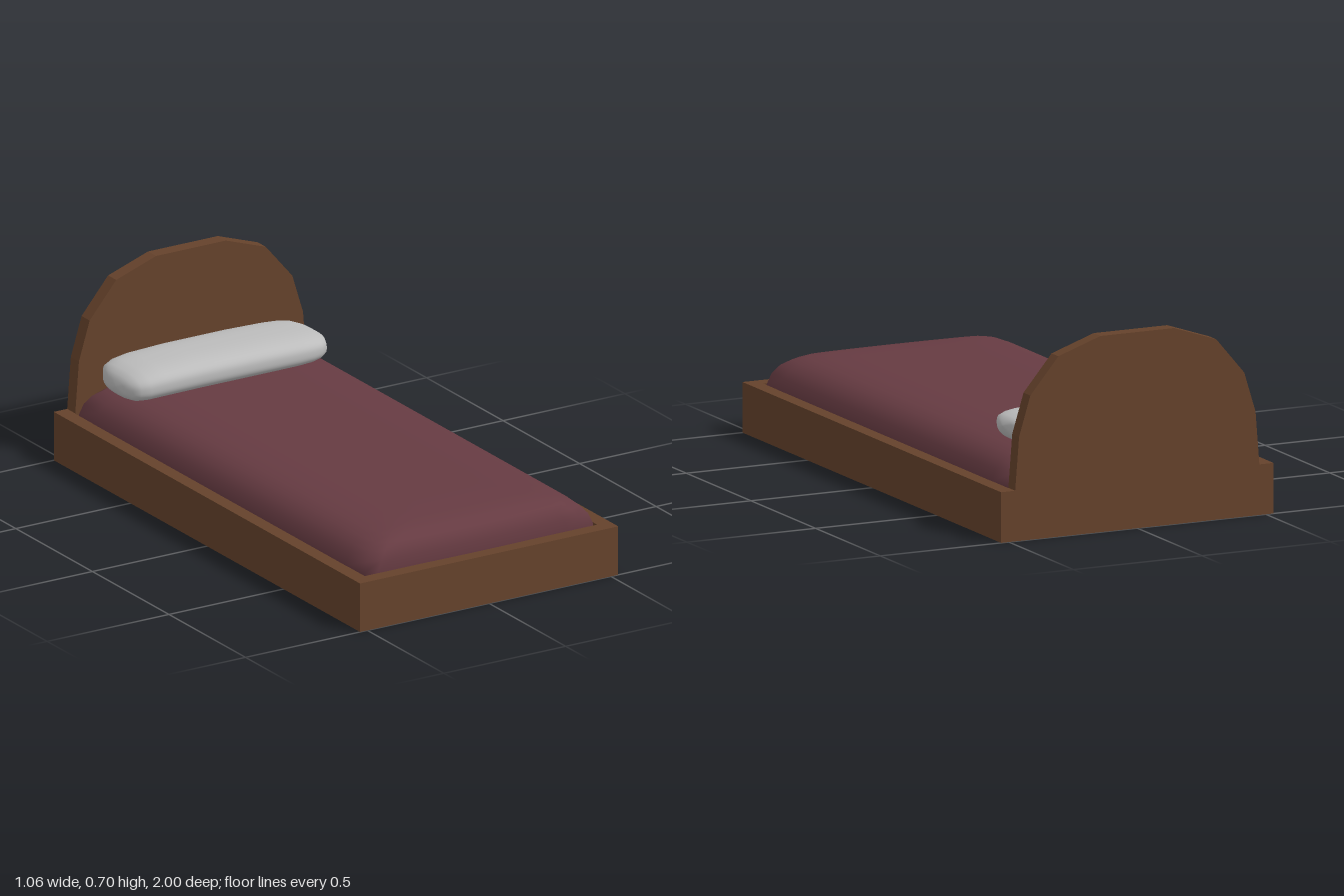
import * as THREE from 'three';

const wood = new THREE.MeshStandardMaterial({ name: 'brown wood', color: 0x65422b });
const blanket = new THREE.MeshStandardMaterial({ name: 'dark red cloth', color: 0x663b42 });
const linen = new THREE.MeshStandardMaterial({ name: 'light grey linen', color: 0xbcbcbc });

function addMesh(group, name, geometry, material) {
  const mesh = new THREE.Mesh(geometry, material);
  mesh.name = name;
  group.add(mesh);
}

// Rounded square outline (superellipse of power n), evenly sampled along its sides
function outline(n, perSide = 16) {
  const points = [];
  for (let side = 0; side < 4; side++) {
    for (let i = 0; i < perSide; i++) {
      const t = (2 * i) / perSide - 1;
      const [u, v] = [[1, t], [-t, 1], [-1, -t], [t, -1]][side];
      const r = Math.pow(Math.abs(u) ** n + Math.abs(v) ** n, 1 / n);
      points.push([u / r, v / r]);
    }
  }
  return points;
}

// Smooth skin through closed rings of [x, y, z] points
function loft(rings) {
  const count = rings[0].length;
  const index = [];
  for (let r = 0; r < rings.length - 1; r++) {
    for (let j = 0; j < count; j++) {
      const a = r * count + j;
      const b = r * count + ((j + 1) % count);
      index.push(a, a + count, b, b, a + count, b + count);
    }
  }
  const geometry = new THREE.BufferGeometry();
  geometry.setAttribute('position', new THREE.Float32BufferAttribute(rings.flat(2), 3));
  geometry.setIndex(index);
  geometry.computeVertexNormals();
  return geometry;
}

function rectangle(path, x, z) {
  path.moveTo(-x, -z);
  path.lineTo(x, -z);
  path.lineTo(x, z);
  path.lineTo(-x, z);
  path.closePath();
  return path;
}

export function createModel() {
  const bed = new THREE.Group();
  bed.name = 'bed';

  // Open box frame without a floor
  const frameShape = rectangle(new THREE.Shape(), 0.53, 1);
  frameShape.holes.push(rectangle(new THREE.Path(), 0.477, 0.947));
  const frame = new THREE.ExtrudeGeometry(frameShape, { depth: 0.18, bevelEnabled: false });
  frame.rotateX(-Math.PI / 2);
  addMesh(bed, 'frame', frame, wood);

  // Faceted arch headboard, mirrored about x = 0
  const half = [[0.475, 0.18], [0.46, 0.37], [0.416, 0.513], [0.307, 0.642], [0.143, 0.698]];
  const arch = [...half, ...half.map(([x, y]) => [-x, y]).reverse()];
  const board = new THREE.ExtrudeGeometry(
    new THREE.Shape(arch.map(([x, y]) => new THREE.Vector2(x, y))),
    { depth: 0.053, bevelEnabled: false });
  board.translate(0, 0, -1);
  addMesh(bed, 'headboard', board, wood);

  // Mattress rings: height, half width, half length, corner power; the ends bow outward
  const mattressRings = [
    [0.012, 0, 0, 60], [0.012, 0.3, 0.75, 60], [0.012, 0.46, 0.93, 60], [0.016, 0.474, 0.944, 60],
    [0.04, 0.479, 0.948, 60], [0.18, 0.478, 0.95, 60], [0.22, 0.461, 0.947, 50],
    [0.25, 0.437, 0.937, 35], [0.27, 0.407, 0.92, 25], [0.285, 0.37, 0.888, 18],
    [0.294, 0.31, 0.84, 14], [0.298, 0.23, 0.76, 12], [0.3, 0.12, 0.6, 12], [0.3, 0, 0, 12],
  ].map(([y, hx, hz, n]) => outline(n).map(([u, v]) => [u * hx, y, v * hz * (1 - 0.012 * u * u)]));
  addMesh(bed, 'mattress', loft(mattressRings), blanket);

  // Pillow rings along x: x, centre z, centre y, half depth, half height
  const pillowRings = [
    [-0.43, -0.755, 0.333, 0, 0], [-0.428, -0.757, 0.333, 0.055, 0.022],
    [-0.415, -0.763, 0.334, 0.1, 0.038], [-0.395, -0.767, 0.337, 0.127, 0.049],
    [-0.36, -0.769, 0.341, 0.141, 0.055], [-0.3, -0.769, 0.346, 0.147, 0.058],
    [-0.15, -0.768, 0.35, 0.149, 0.06], [0.1, -0.768, 0.35, 0.149, 0.06],
    [0.25, -0.768, 0.348, 0.147, 0.058], [0.31, -0.768, 0.347, 0.142, 0.055],
    [0.345, -0.766, 0.347, 0.131, 0.05], [0.372, -0.758, 0.348, 0.106, 0.04],
    [0.39, -0.749, 0.352, 0.06, 0.024], [0.397, -0.745, 0.354, 0, 0],
  ].map(([x, cz, cy, hz, hy]) => outline(2.7).map(([u, v]) => [x, cy + v * hy, cz + u * hz]));
  addMesh(bed, 'pillow', loft(pillowRings), linen);

  return bed;
}
